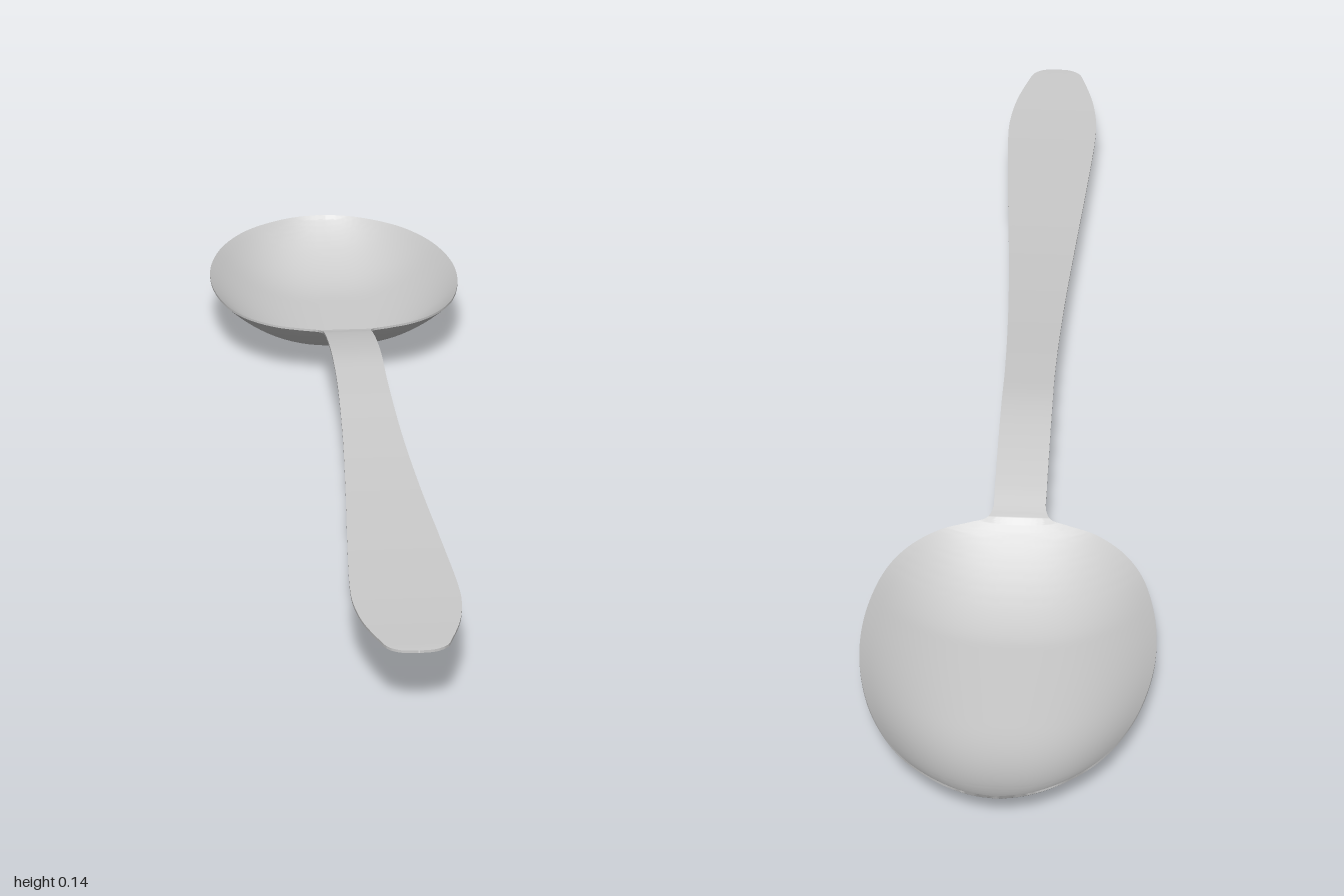
import * as THREE from 'three';
import { toCreasedNormals } from 'three/addons/utils/BufferGeometryUtils.js';

const THICK = 0.004;
const ACROSS = 28;
const STEPS = 8;

// Edge of the spoon, tip of bowl to end of handle: half width, height, z
const EDGE = [
  [0.001, 0.097, -1], [0.05, 0.097, -0.99], [0.1, 0.097, -0.963], [0.152, 0.097, -0.915],
  [0.198, 0.097, -0.835], [0.225, 0.097, -0.74], [0.233, 0.097, -0.65], [0.225, 0.097, -0.56],
  [0.203, 0.097, -0.48], [0.17, 0.097, -0.425], [0.125, 0.097, -0.385], [0.08, 0.097, -0.365],
  [0.053, 0.098, -0.353], [0.044, 0.102, -0.335], [0.043, 0.114, -0.295], [0.043, 0.133, -0.2],
  [0.043, 0.143, -0.1], [0.043, 0.138, 0], [0.049, 0.121, 0.2], [0.06, 0.109, 0.4],
  [0.073, 0.104, 0.6], [0.082, 0.102, 0.76], [0.082, 0.102, 0.82], [0.073, 0.103, 0.89],
  [0.055, 0.105, 0.955], [0.043, 0.106, 0.985], [0.025, 0.106, 0.997], [0.001, 0.106, 1],
];

// Depth of the bowl along its centre line
function bowlDepth(z) {
  const fromTip = THREE.MathUtils.clamp((z + 1) / 0.25, 0, 1);
  const fromNeck = THREE.MathUtils.clamp((-0.35 - z) / 0.21, 0, 1);
  return 0.093 * (1 - (1 - fromTip) ** 2.4) * (1 - (1 - fromNeck) ** 1.7);
}

// Closed thin sheet: each row is a loop over the top face and back under it
function spoonGeometry() {
  const edge = new THREE.CatmullRomCurve3(EDGE.map((p) => new THREE.Vector3(...p)));
  const rows = (EDGE.length - 1) * STEPS;
  const ring = 2 * (ACROSS + 1);
  const positions = [];
  const index = [];
  for (let i = 0; i <= rows; i++) {
    const p = edge.getPoint(i / rows);
    const depth = bowlDepth(p.z);
    for (let k = 0; k < ring; k++) {
      const under = k > ACROSS;
      const j = under ? ring - 1 - k : k;
      const t = (2 * j) / ACROSS - 1;
      const y = p.y - depth * (1 - Math.abs(t) ** 2.4) - (under ? THICK : 0);
      positions.push(p.x * t, y, p.z);
    }
  }
  for (let i = 0; i < rows; i++) {
    for (let k = 0; k < ring; k++) {
      const a = i * ring + k;
      const b = i * ring + ((k + 1) % ring);
      index.push(a, a + ring, b, b, a + ring, b + ring);
    }
  }
  const geometry = new THREE.BufferGeometry();
  geometry.setAttribute('position', new THREE.Float32BufferAttribute(positions, 3));
  geometry.setIndex(index);
  return toCreasedNormals(geometry, 0.7);
}

export function createModel() {
  const group = new THREE.Group();
  group.name = 'spoon';
  const material = new THREE.MeshStandardMaterial({ color: 0xcccccc, side: THREE.DoubleSide });
  const body = new THREE.Mesh(spoonGeometry(), material);
  body.name = 'bowlAndHandle';
  group.add(body);
  return group;
}
